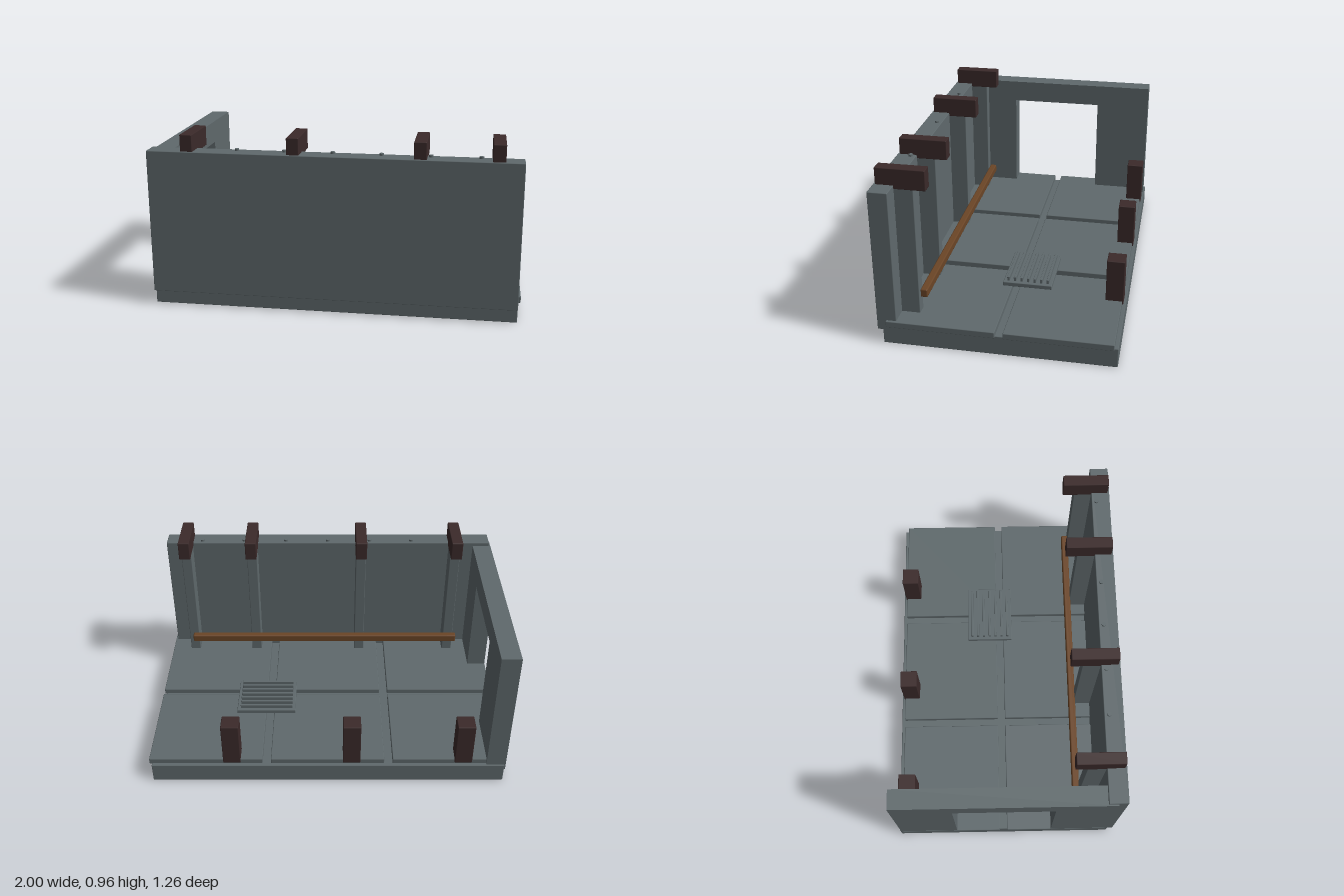
import * as THREE from 'three';
import { RoundedBoxGeometry } from 'three/addons/geometries/RoundedBoxGeometry.js';

const material = (name, color) => {
  const m = new THREE.MeshStandardMaterial({ color });
  m.name = name;
  return m;
};

export function createModel() {
  const model = new THREE.Group();
  model.name = 'bunkerSection';
  const metal = material('slate grey', 0x5f696c);
  const darkWood = material('dark brown', 0x3b2a2a);
  const railWood = material('rail brown', 0x6b4526);

  const add = (name, geometry, mat) => {
    const mesh = new THREE.Mesh(geometry, mat);
    mesh.name = name;
    model.add(mesh);
    return mesh;
  };
  // softly bevelled box given by its extents on each axis
  const box = (name, mat, [x0, x1], [y0, y1], [z0, z1], bevel = 0.004) => {
    const g = new RoundedBoxGeometry(x1 - x0, y1 - y0, z1 - z0, 1, bevel);
    g.translate((x0 + x1) / 2, (y0 + y1) / 2, (z0 + z1) / 2);
    return add(name, g, mat);
  };

  // base and front wall
  box('baseSlab', metal, [-0.99, 0.985], [0, 0.11], [-0.63, 0.6]);
  box('frontWall', metal, [-0.99, 0.985], [0.08, 0.87], [0.525, 0.63]);

  // floor panels, three columns by two rows
  for (let i = 0; i < 3; i++) {
    const x = -1 + i * 0.682;
    for (const z of [[-0.61, -0.04], [0.003, 0.58]]) {
      box('floorPanel', metal, [x, x + 0.635], [0.105, 0.14], z);
    }
  }

  // side wall with a doorway
  const frame = new THREE.Shape([
    [-0.62, 0.075], [-0.29, 0.075], [-0.29, 0.72], [0.26, 0.72],
    [0.26, 0.075], [0.58, 0.075], [0.58, 0.85], [-0.62, 0.85],
  ].map(([z, y]) => new THREE.Vector2(-z, y)));
  const frameGeometry = new THREE.ExtrudeGeometry(frame, { depth: 0.108, bevelEnabled: false });
  frameGeometry.rotateY(Math.PI / 2).translate(-0.998, 0, 0);
  add('doorwayWall', frameGeometry, metal);

  // wall posts with timber caps
  for (const x of [-0.772, -0.203, 0.458, 0.855]) {
    box('wallPost', metal, [x - 0.03, x + 0.03], [0.12, 0.86], [0.425, 0.53]);
    box('postCap', darkWood, [x - 0.033, x + 0.033], [0.85, 0.96], [0.36, 0.62]);
  }

  // rail along the posts
  box('rail', railWood, [-0.82, 0.86], [0.22, 0.268], [0.388, 0.428], 0.008);

  // short timber stumps along the back edge
  for (const x of [-0.76, -0.135, 0.535]) {
    box('stump', darkWood, [x - 0.049, x + 0.049], [0.12, 0.38], [-0.617, -0.52]);
  }

  // floor grate
  box('gratePlate', metal, [0.19, 0.535], [0.138, 0.163], [-0.218, 0.055]);
  for (let i = 0; i < 7; i++) {
    const z = 0.028 - i * 0.0368;
    box('grateBar', metal, [0.208, 0.515], [0.155, 0.186], [z - 0.007, z + 0.007], 0.002);
  }

  // studs on top of the wall
  for (let i = 0; i < 7; i++) {
    const g = new THREE.CylinderGeometry(0.012, 0.012, 0.03, 12);
    add('stud', g, metal).position.set(-0.77 + i * 0.256, 0.866, 0.552);
  }

  return model;
}
